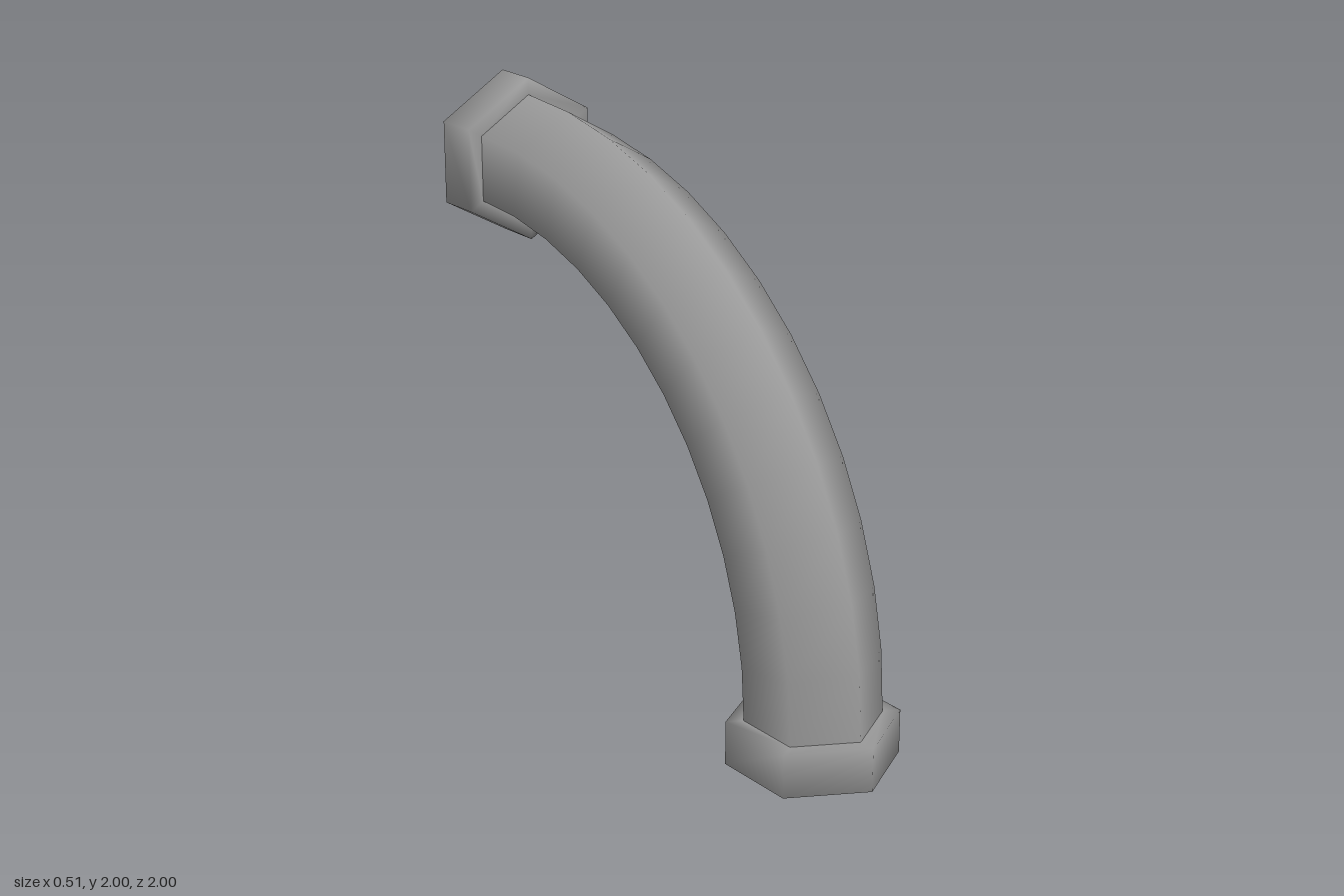
import * as THREE from 'three';

const BEND = 1.55, PIVOT_Y = 0.155, PIVOT_Z = -0.845; // quarter-circle centreline
const SIDES = 6, STEPS = 12;
const R_PIPE = 0.232;

// Collar profile [distance from the pipe's end, radius]: shoulder, side, rim, recess, floor
const COLLAR = [[0, R_PIPE], [0, 0.292], [0.155, 0.292], [0.155, 0.225], [0.055, 0.2], [0.055, 0]];

// Skins a list of hexagonal rings [bend angle, offset along the pipe, radius]
function skin(rings) {
  const pos = [], index = [], flipped = [];
  for (const [a, offset, r] of rings) {
    const s = Math.sin(a), c = Math.cos(a);
    for (let j = 0; j < SIDES; j++) {
      const t = (j / SIDES) * Math.PI * 2;
      const d = BEND + r * Math.cos(t);
      pos.push(r * Math.sin(t), PIVOT_Y + d * s + offset * c, PIVOT_Z + d * c - offset * s);
    }
  }
  for (let i = 0; i < rings.length - 1; i++) {
    for (let j = 0; j < SIDES; j++) {
      const a = i * SIDES + j, b = i * SIDES + (j + 1) % SIDES;
      const c = b + SIDES, d = a + SIDES;
      index.push(a, b, c, a, c, d);
      flipped.push(a, b, d, b, c, d);
    }
  }
  const geo = new THREE.BufferGeometry();
  geo.setAttribute('position', new THREE.Float32BufferAttribute(pos, 3));
  // Average the normals over both diagonals, so the shading stays symmetrical
  geo.setIndex([...index, ...flipped]);
  geo.computeVertexNormals();
  geo.setIndex(index);
  return geo;
}

export function createModel() {
  const group = new THREE.Group();
  group.name = 'pipeElbow';
  const material = new THREE.MeshStandardMaterial({ color: 0x999999 });
  const add = (name, rings) => {
    const mesh = new THREE.Mesh(skin(rings), material);
    mesh.name = name;
    group.add(mesh);
  };

  // Bent hexagonal pipe
  add('pipe', Array.from({ length: STEPS + 1 }, (_, i) => [(i / STEPS) * Math.PI / 2, 0, R_PIPE]));

  // Matching collars with a recessed mouth, one facing down and one facing back
  add('bottomCollar', COLLAR.map(([o, r]) => [0, -o, r]).reverse());
  add('topCollar', COLLAR.map(([o, r]) => [Math.PI / 2, o, r]));

  return group;
}
